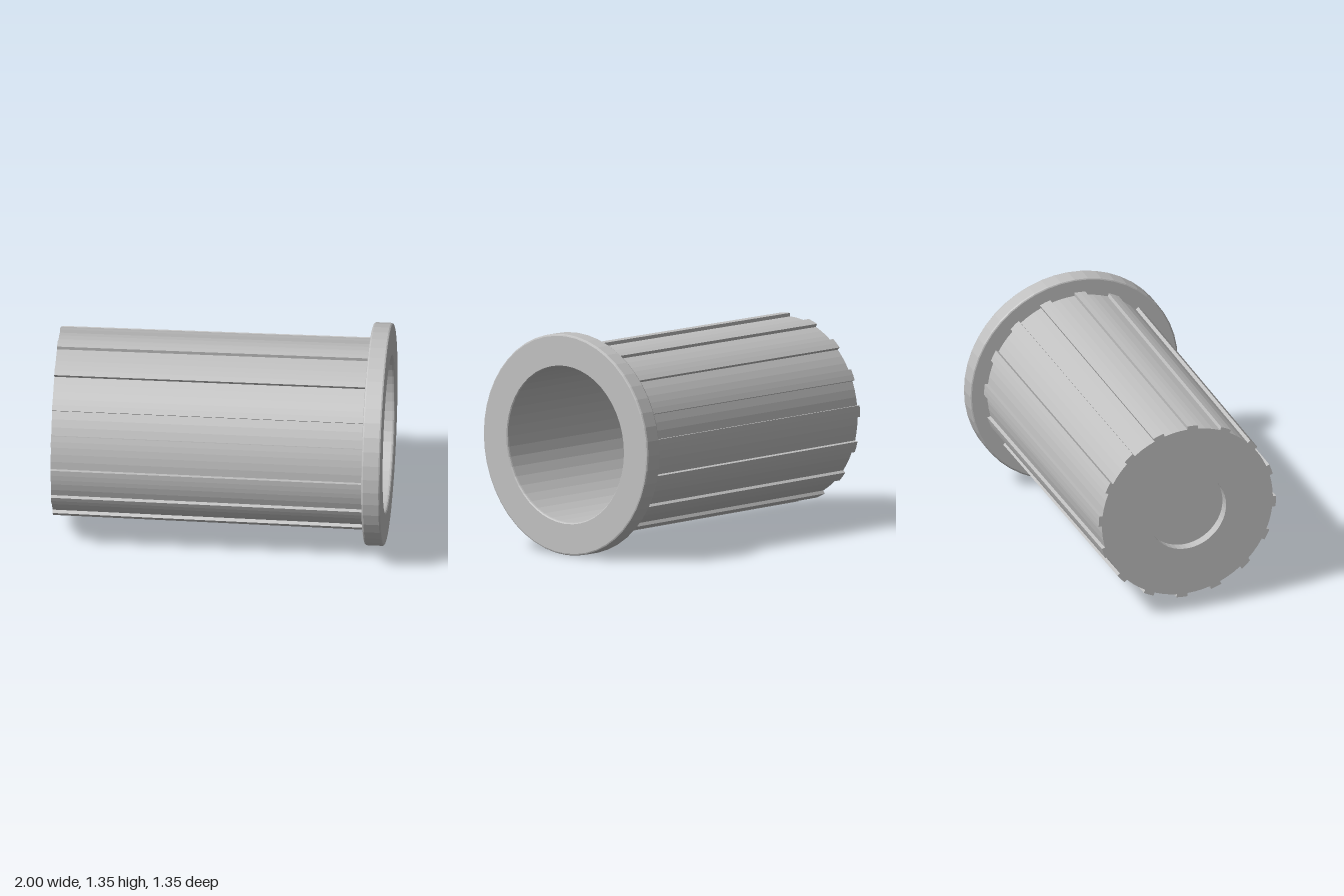
import * as THREE from 'three';

const SEG = 48, RIBS = 16, AXIS_Y = 0.673;
const BACK = -1, FLANGE_BACK = 0.885;

// Ribbed outline as [z, y] points around the axis
function ribbedLoop(core, rib) {
  const pts = [];
  const add = (r, deg) => {
    const a = THREE.MathUtils.degToRad(deg);
    pts.push(new THREE.Vector2(r * Math.cos(a), r * Math.sin(a)));
  };
  for (let k = 0; k < RIBS; k++) {
    const d = k * 360 / RIBS;
    add(core, d - 7);
    add(rib, d - 7);
    add(rib, d - 3.5);
    add(rib, d);
    add(core, d);
    add(core, d + 5.2);
    add(core, d + 10.3);
  }
  return pts;
}

// Side wall joining two outlines along x
function loft(loopA, xA, loopB, xB) {
  const pos = [], index = [], n = loopA.length;
  for (const p of loopA) pos.push(xA, p.y, p.x);
  for (const p of loopB) pos.push(xB, p.y, p.x);
  for (let i = 0; i < n; i++) {
    const j = (i + 1) % n;
    index.push(i, n + i, n + j, i, n + j, j);
  }
  const g = new THREE.BufferGeometry();
  g.setAttribute('position', new THREE.Float32BufferAttribute(pos, 3));
  g.setIndex(index);
  g.computeVertexNormals();
  return g;
}

// Turned part around the x axis, profile given as [radius, x]
function turned(profile) {
  const g = new THREE.LatheGeometry(profile.map(([r, x]) => new THREE.Vector2(r, x)), SEG);
  return g.rotateZ(-Math.PI / 2);
}

export function createModel() {
  const model = new THREE.Group();
  model.name = 'ribbedSleeve';
  const grey = new THREE.MeshStandardMaterial({ color: 0xc0c0c0, flatShading: true });
  grey.name = 'grey';

  const add = (name, geometry) => {
    const m = new THREE.Mesh(geometry, grey);
    m.name = name;
    m.position.y = AXIS_Y;
    model.add(m);
  };

  // Slightly tapered barrel with lengthwise ribs
  const backLoop = ribbedLoop(0.552, 0.573);
  add('ribbedBarrel', loft(backLoop, BACK, ribbedLoop(0.562, 0.583), FLANGE_BACK));

  // Closed end with a round opening for the recess
  const end = new THREE.Shape(backLoop);
  const hole = [];
  for (let i = 0; i < SEG; i++) {
    const a = i / SEG * Math.PI * 2;
    hole.push(new THREE.Vector2(0.25 * Math.cos(a), 0.25 * Math.sin(a)));
  }
  end.holes.push(new THREE.Path(hole));
  add('endFace', new THREE.ShapeGeometry(end).rotateY(-Math.PI / 2).translate(BACK, 0, 0));

  // Shallow recess in the closed end
  add('endRecess', turned([[0, -0.94], [0.25, -0.94], [0.25, BACK]]));

  // Flange with softened edges
  add('flange', turned([
    [0.5, FLANGE_BACK], [0.662, FLANGE_BACK], [0.669, 0.888], [0.673, 0.896],
    [0.673, 0.989], [0.669, 0.997], [0.662, 1], [0.482, 1],
  ]));

  // Deep blind bore
  add('bore', turned([[0.482, 1], [0.476, 0.994], [0.474, 0.985], [0.474, -0.85], [0, -0.85]]));

  return model;
}
